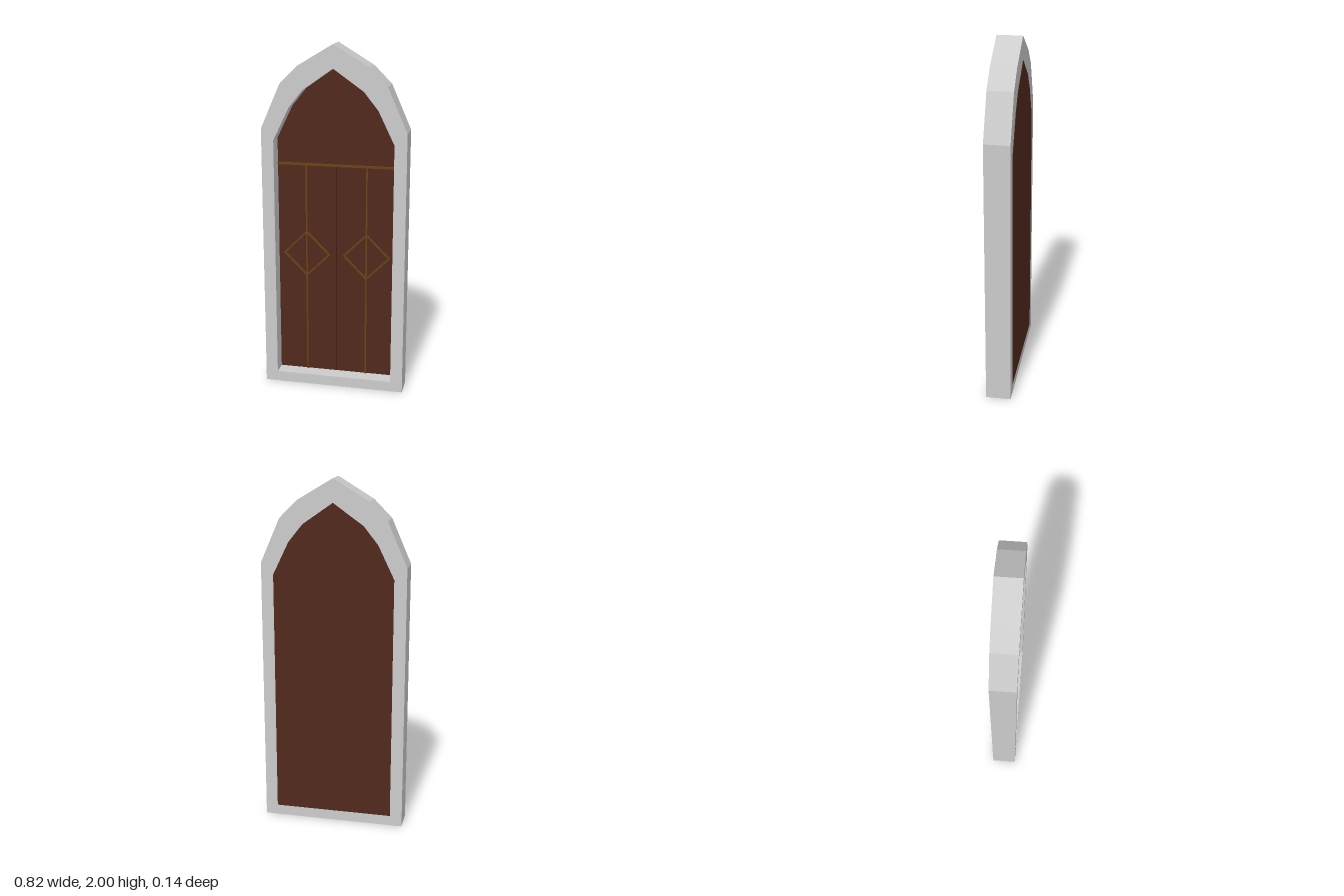
import * as THREE from 'three';

const OUTER = [[0.41, 0], [0.41, 1.53], [0.3, 1.78], [0.2, 1.88]];
const INNER = [[0.34, 0.06], [0.34, 1.465], [0.25, 1.65], [0.17, 1.75]];
const BACK = -0.071, FRONT = 0.071, DOOR_FACE = -0.017;

// Symmetric pointed arch from its right half and apex height
function archPoints(half, apex) {
  const right = half.map(([x, y]) => new THREE.Vector2(x, y));
  const left = half.map(([x, y]) => new THREE.Vector2(-x, y)).reverse();
  return [...right, new THREE.Vector2(0, apex), ...left];
}

function extrude(shape, depth, z) {
  return new THREE.ExtrudeGeometry(shape, { depth, bevelEnabled: false }).translate(0, 0, z);
}

function diamond(r) {
  return [[r, 0], [0, r], [-r, 0], [0, -r]].map(([x, y]) => new THREE.Vector2(x, y));
}

export function createModel() {
  const group = new THREE.Group();
  const stone = new THREE.MeshStandardMaterial({ color: 0xcccccc });
  const wood = new THREE.MeshStandardMaterial({ color: 0x51291d });
  const trim = new THREE.MeshStandardMaterial({ color: 0x6b4216 });
  const dark = new THREE.MeshStandardMaterial({ color: 0x24120d });

  const add = (name, geometry, material, x = 0, y = 0, z = 0) => {
    const mesh = new THREE.Mesh(geometry, material);
    mesh.name = name;
    mesh.position.set(x, y, z);
    group.add(mesh);
  };

  // Stone surround with arched opening
  const frame = new THREE.Shape(archPoints(OUTER, 2));
  frame.holes.push(new THREE.Path(archPoints(INNER, 1.87)));
  add('stoneFrame', extrude(frame, FRONT - BACK, BACK), stone);

  // Door slab, set back in the opening and just proud of the rear
  const slab = new THREE.Shape(archPoints(INNER, 1.87));
  add('doorPanel', extrude(slab, DOOR_FACE - BACK + 0.002, BACK - 0.002), wood);

  // Seam between the two leaves
  add('doorSeam', new THREE.BoxGeometry(0.004, 1.26, 0.002), dark, 0, 0.69, DOOR_FACE);

  // Cross rail
  add('crossRail', new THREE.BoxGeometry(0.68, 0.012, 0.016), trim, 0, 1.32, DOOR_FACE + 0.004);

  // Upright strip and diamond moulding on each leaf
  for (const [side, x] of [['right', -0.173], ['left', 0.177]]) {
    add(`${side}Strip`, new THREE.BoxGeometry(0.009, 1.26, 0.014), trim, x, 0.69, DOOR_FACE + 0.003);
    const ring = new THREE.Shape(diamond(0.138));
    ring.holes.push(new THREE.Path(diamond(0.126)));
    add(`${side}Diamond`, extrude(ring, 0.014, -0.003), trim, x, 0.79, DOOR_FACE);
  }
  return group;
}
